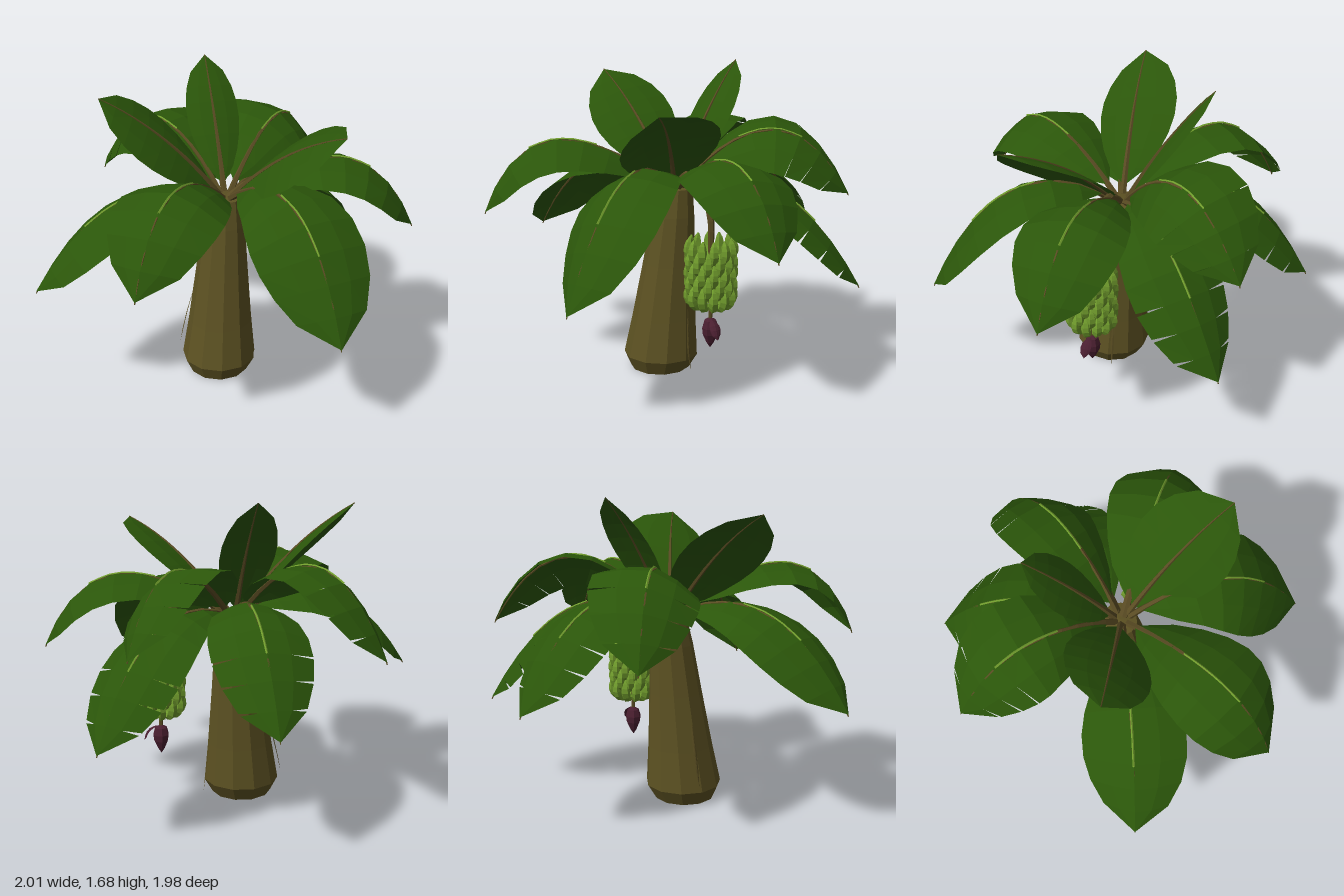
import * as THREE from 'three';

const V = (x, y, z) => new THREE.Vector3(x, y, z);
const mat = (name, color, side = THREE.FrontSide) =>
  Object.assign(new THREE.MeshStandardMaterial({ color, flatShading: true, side }), { name });

// Quadratic arc that passes through a middle point
const arc = (a, m, b) =>
  new THREE.QuadraticBezierCurve3(a, m.clone().multiplyScalar(2).addScaledVector(a, -0.5).addScaledVector(b, -0.5), b);

// Tube whose radius follows a rule along its length
function taperedTube(curve, segs, sides, radius) {
  const geo = new THREE.TubeGeometry(curve, segs, 1, sides);
  const pos = geo.attributes.position, p = V(0, 0, 0);
  for (let i = 0; i <= segs; i++) {
    const c = curve.getPointAt(i / segs), r = radius(i / segs);
    for (let j = 0; j <= sides; j++) {
      const k = i * (sides + 1) + j;
      p.fromBufferAttribute(pos, k).sub(c).multiplyScalar(r).add(c);
      pos.setXYZ(k, p.x, p.y, p.z);
    }
  }
  return geo;
}

// Drooping leaf surface swept along a curve, rolled about it and optionally torn at its edges
function bladeGeometry(curve, halfWidth, { start = 0.05, droop = 0.35, split = 0, segs = 8, roll = 0 } = {}) {
  const point = (s, u) => {
    const t = Math.min(1, start + (1 - start) * s);
    const tan = curve.getTangentAt(t);
    const side = V(tan.z, 0, -tan.x).normalize().applyAxisAngle(tan, roll);
    const up = tan.clone().cross(side).normalize();
    const w = halfWidth * Math.pow(Math.max(0, Math.sin(Math.PI * Math.pow(s, 1.17))), 0.57);
    return curve.getPointAt(t).addScaledVector(side, u * w)
      .addScaledVector(up, -droop * w * Math.pow(Math.abs(u), 1.5));
  };
  const verts = [], us = [-1, -0.5, 0, 0.5, 1];
  for (let i = 0; i < segs; i++) {
    const s0 = i / segs, s1 = (i + 1) / segs;
    const tear = i > 3 && i < segs - 1 ? split : 0;
    for (let j = 0; j < 4; j++) {
      const end = (u) => point(s1 - (Math.abs(u) === 1 ? tear : 0), u);
      const a = point(s0, us[j]), b = point(s0, us[j + 1]);
      const c = end(us[j + 1]), d = end(us[j]);
      for (const q of [a, c, b, a, d, c]) verts.push(q.x, q.y, q.z);
    }
  }
  const geo = new THREE.BufferGeometry();
  geo.setAttribute('position', new THREE.Float32BufferAttribute(verts, 3));
  geo.computeVertexNormals();
  return geo;
}

export function createModel() {
  const model = new THREE.Group();
  const bark = mat('bark brown', 0x5c5122);
  const strip = mat('dry sheath brown', 0x564a20, THREE.DoubleSide);
  const rib = mat('rib brown', 0x584a22);
  const leafGreen = mat('leaf green', 0x2b560a, THREE.DoubleSide);
  const fruitGreen = mat('fruit green', 0x6f9a2c);
  const plum = mat('flower plum', 0x4a1f30, THREE.DoubleSide);
  const add = (name, geo, material, parent = model) => {
    const mesh = new THREE.Mesh(geo, material);
    mesh.name = name;
    parent.add(mesh);
    return mesh;
  };

  // Leaning faceted trunk
  const profile = [[0, 0], [0.165, 0], [0.207, 0.08], [0.178, 0.3], [0.145, 0.6], [0.118, 0.87], [0.095, 1.02], [0, 1.03]];
  const trunkGeo = new THREE.LatheGeometry(profile.map(([r, y]) => new THREE.Vector2(r, y)), 11);
  const tp = trunkGeo.attributes.position;
  for (let i = 0; i < tp.count; i++) {
    const y = tp.getY(i);
    tp.setX(i, tp.getX(i) - 0.055 + 0.075 * y);
    tp.setZ(i, tp.getZ(i) - 0.015 - 0.04 * y);
  }
  add('trunk', trunkGeo, bark);

  // Loose dry strips hanging from the trunk
  [[V(0.125, 0.42, 0.02), V(0.14, 0.22, 0.04), V(0.16, 0.02, 0.05)],
   [V(-0.13, 0.5, -0.13), V(-0.17, 0.3, -0.17), V(-0.2, 0.12, -0.19)]]
    .forEach(([a, m, b]) => add('drySheath', bladeGeometry(arc(a, m, b), 0.01, { start: 0, segs: 4 }), strip));

  // Crown of arching leaves: middle point, tip, half width, roll, edge tears
  const heart = V(0.02, 1.04, -0.04);
  const leaves = [
    [[-0.55, 1.1, -0.19], [-1.0, 0.66, -0.33], 0.27, 0.1, 0],
    [[-0.55, 1.29, 0.27], [-0.88, 0.9, 0.44], 0.28, -0.1, 0],
    [[0.52, 1.25, 0.34], [0.82, 0.86, 0.58], 0.27, 0, 0],
    [[0, 1.16, 0.54], [-0.07, 0.6, 0.98], 0.29, 0.2, 0],
    [[0.14, 1.33, 0.3], [0.24, 1.5, 0.63], 0.26, 0.35, 0],
    [[-0.28, 1.38, -0.19], [-0.56, 1.61, -0.34], 0.23, -0.35, 0],
    [[0.11, 1.39, -0.26], [0.2, 1.68, -0.47], 0.145, 0, 0],
    [[0.52, 1.35, -0.21], [0.89, 1.0, -0.38], 0.27, 0.45, 0.006],
    [[0.57, 1.04, -0.13], [1.0, 0.53, -0.26], 0.26, 0, 0.014],
    [[-0.08, 1.36, -0.58], [-0.17, 0.95, -0.99], 0.27, -0.25, 0.012],
    [[0.26, 1.15, -0.54], [0.45, 0.68, -0.95], 0.25, 0, 0.012],
  ];
  for (const [mid, tip, width, roll, split] of leaves) {
    const leaf = new THREE.Group();
    leaf.name = 'leaf';
    model.add(leaf);
    const end = V(...tip);
    const out = V(end.x, 0, end.z).normalize().multiplyScalar(0.04);
    const curve = arc(heart.clone().add(out), V(...mid), end);
    const rising = tip[1] > 1.2;
    add('leafBlade', bladeGeometry(curve, width, { split, roll, droop: rising ? 0.2 : 0.36 }), leafGreen, leaf);
    const ribMesh = add('leafRib', taperedTube(curve, 12, 5, (t) => 0.003 + 0.015 * Math.pow(1 - t, 1.4)), rib, leaf);
    if (rising) continue;
    ribMesh.position.y = -0.01;
    // Pale vein showing on the upper face
    const vein = new THREE.CatmullRomCurve3([0.35, 0.45, 0.55, 0.65].map((t) => curve.getPointAt(t)));
    add('leafVein', taperedTube(vein, 6, 4, () => 0.006), fruitGreen, leaf).position.y = 0.001;
  }

  // Stalk that carries the fruit
  const cx = 0.335, cz = 0.203;
  const stalk = new THREE.CatmullRomCurve3([
    V(0.03, 1.02, -0.03), V(0.14, 1.12, 0.06), V(0.27, 1.07, 0.16),
    V(0.33, 0.93, 0.2), V(cx, 0.8, cz), V(cx, 0.4, cz)]);
  add('fruitStalk', taperedTube(stalk, 20, 6, (t) => 0.024 - 0.014 * t), rib);

  // Staggered rows of plump upturned fruit
  const bunch = new THREE.Group();
  bunch.name = 'fruitBunch';
  bunch.position.set(cx, 0, cz);
  model.add(bunch);
  const fruitCurve = new THREE.CatmullRomCurve3(
    [V(0.02, 0.0, 0), V(0.08, -0.008, 0), V(0.112, 0.025, 0), V(0.117, 0.065, 0), V(0.108, 0.115, 0)]);
  const fruitGeo = taperedTube(fruitCurve, 8, 5, (t) => 0.004 + 0.022 * Math.pow(Math.sin(Math.PI * Math.pow(t, 1.3)), 0.7));
  const rows = 5, perRow = 12;
  for (let r = 0; r < rows; r++) {
    for (let k = 0; k < perRow; k++) {
      const fruit = add('fruit', fruitGeo, fruitGreen, bunch);
      fruit.position.y = 0.482 + r * 0.061;
      fruit.rotation.y = (k + (r % 2) * 0.5) / perRow * Math.PI * 2;
    }
  }

  // Hanging flower bud with one open petal
  const bud = [[0, 0.24], [0.02, 0.27], [0.04, 0.315], [0.044, 0.35], [0.033, 0.39], [0, 0.41]];
  add('flowerBud', new THREE.LatheGeometry(bud.map(([r, y]) => new THREE.Vector2(r, y)), 7), plum)
    .position.set(cx, 0, cz);
  const petal = arc(V(cx + 0.01, 0.4, cz + 0.01), V(cx + 0.05, 0.375, cz + 0.05), V(cx + 0.07, 0.31, cz + 0.065));
  add('flowerPetal', bladeGeometry(petal, 0.03, { start: 0, segs: 5 }), plum);

  return model;
}
